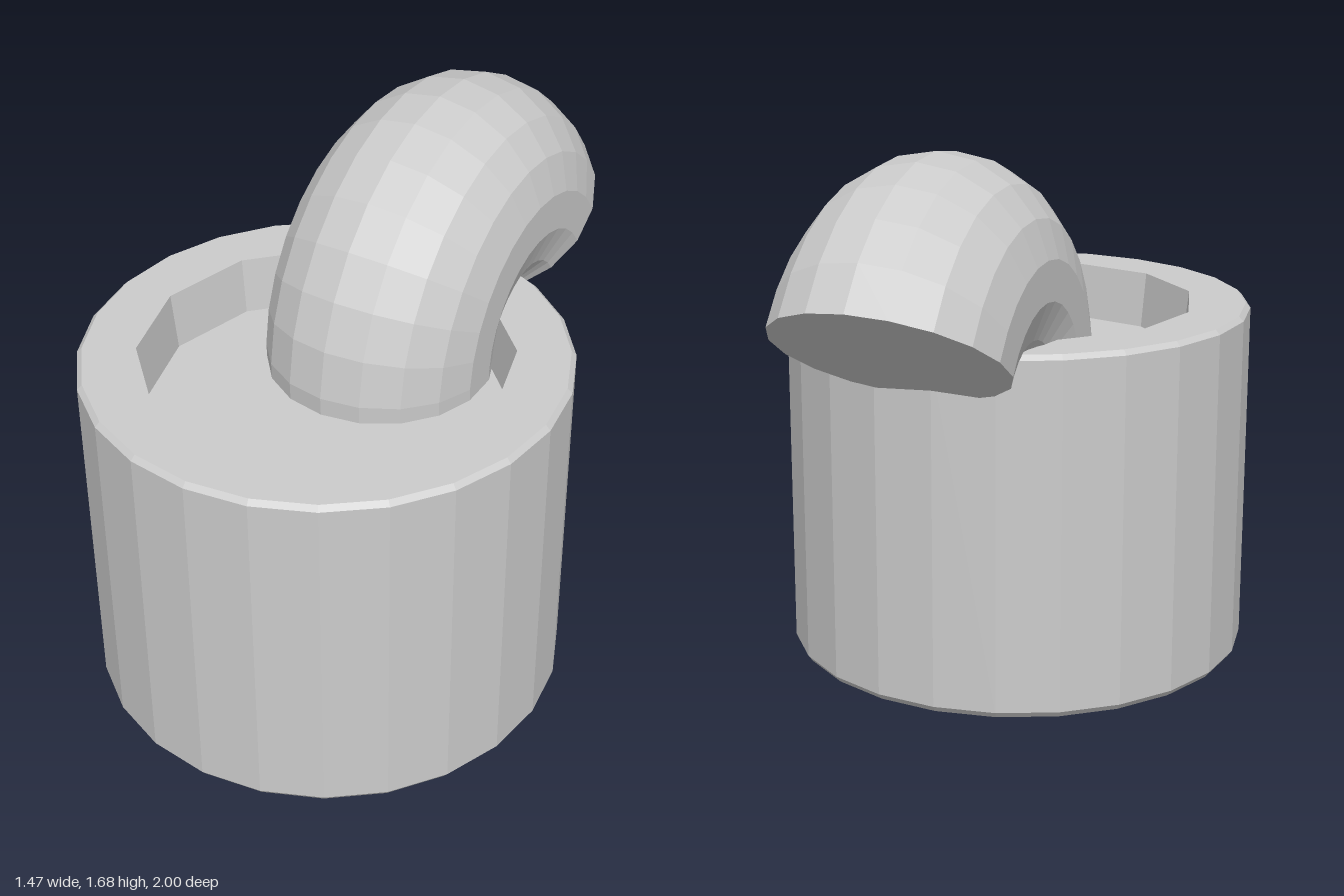
import * as THREE from 'three';

const material = new THREE.MeshStandardMaterial({ color: 0xcccccc, flatShading: true });

function part(name, geometry) {
  const mesh = new THREE.Mesh(geometry, material);
  mesh.name = name;
  return mesh;
}

function lathe(profile, sides) {
  return new THREE.LatheGeometry(profile.map(([x, y]) => new THREE.Vector2(x, y)), sides);
}

function polygon(radius, sides) {
  return Array.from({ length: sides }, (_, i) => {
    const a = (i / sides) * Math.PI * 2;
    return new THREE.Vector2(radius * Math.sin(a), radius * Math.cos(a));
  });
}

// Round pot with a shallow recess in its top
function createPot() {
  const height = 1.13, floor = 0.95, outer = 0.735, inner = 0.56, bevel = 0.015;
  const pot = new THREE.Group();
  pot.name = 'pot';

  pot.add(part('potBody', lathe([
    [0, 0.005], [outer - bevel, 0.005], [outer, 0.025],
    [outer, height - bevel], [outer - bevel, height],
  ], 24)));

  const ring = new THREE.Shape(polygon(outer - bevel, 24));
  ring.holes.push(new THREE.Path(polygon(inner, 12)));
  const rim = part('potRim', new THREE.ShapeGeometry(ring).rotateX(-Math.PI / 2));
  rim.position.y = height;
  pot.add(rim);

  pot.add(part('potRecess', lathe([[inner, height], [inner - 0.02, floor], [0, floor]], 12)));
  pot.position.z = 0.265;
  return pot;
}

// Thick bent pipe rising from the recess and curving over the back rim
function createPipe() {
  const bend = 0.38, radius = 0.35, sides = 18;
  const start = THREE.MathUtils.degToRad(-20);
  const end = THREE.MathUtils.degToRad(147);
  const pipe = new THREE.Group();
  pipe.name = 'pipe';

  pipe.add(part('pipeBend',
    new THREE.TorusGeometry(bend, radius, sides, 14, end - start).rotateZ(start)));
  pipe.add(part('pipeEnd',
    new THREE.CircleGeometry(radius, sides).rotateX(-Math.PI / 2).translate(bend, 0, 0).rotateZ(end)));

  pipe.rotation.y = -Math.PI / 2;
  pipe.position.set(0.025, 0.96, -0.385);
  return pipe;
}

export function createModel() {
  const model = new THREE.Group();
  model.name = 'potWithBentPipe';
  model.add(createPot(), createPipe());
  return model;
}
